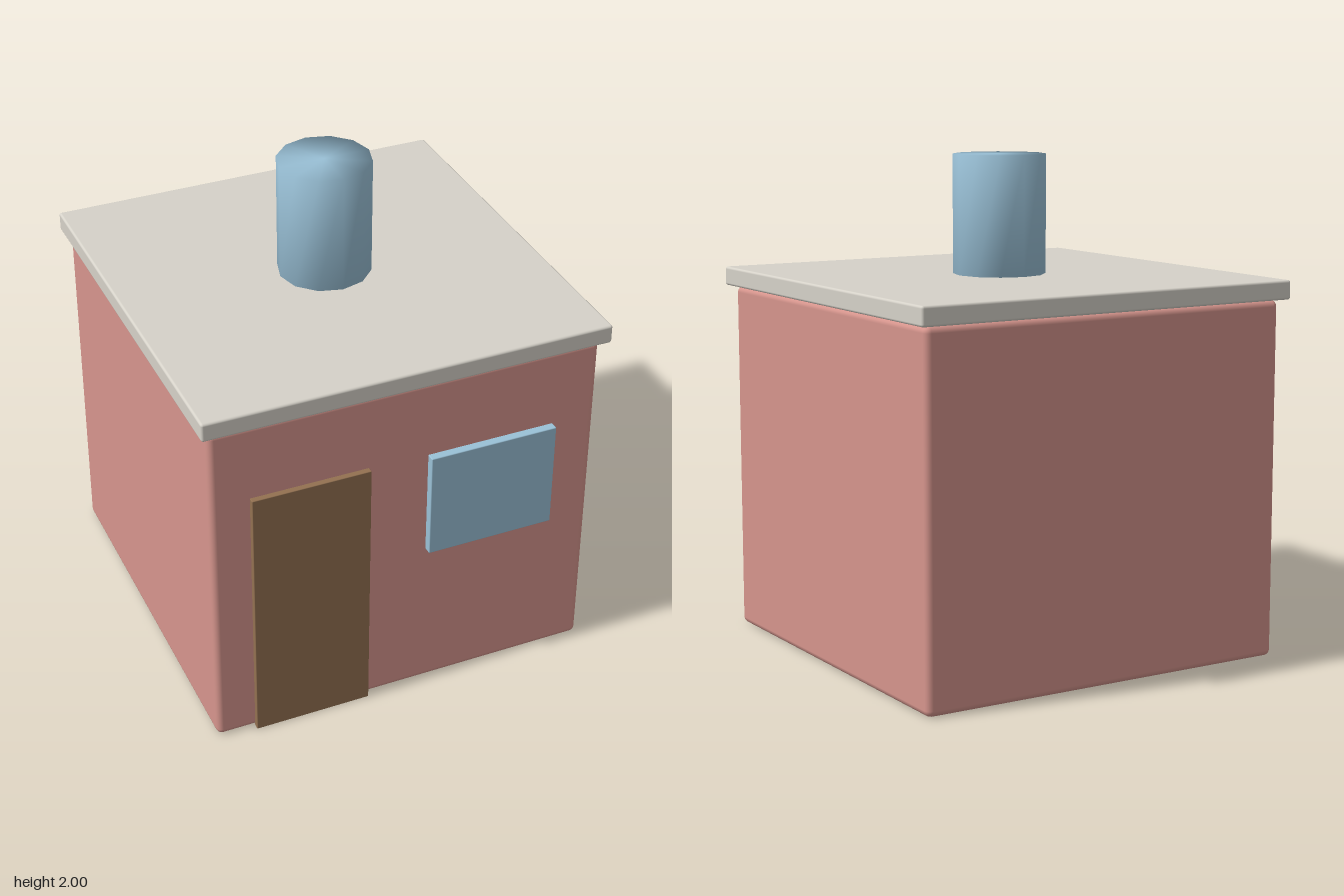
import * as THREE from 'three';
import { mergeVertices } from 'three/addons/utils/BufferGeometryUtils.js';
import { RoundedBoxGeometry } from 'three/addons/geometries/RoundedBoxGeometry.js';

function material(name, color) {
  const m = new THREE.MeshStandardMaterial({ color });
  m.name = name;
  return m;
}

export function createModel() {
  const group = new THREE.Group();
  group.name = 'house';

  const wallPink = material('wall pink', 0xd6958d);
  const roofStone = material('roof stone', 0xd6d2c9);
  const doorBrown = material('door brown', 0x937151);
  const paleBlue = material('pale blue', 0x9ac1d7);

  // Box with softly rounded edges, given by its min and max corners
  function block(name, mat, min, max, radius) {
    const size = max.map((v, i) => v - min[i]);
    const mesh = new THREE.Mesh(new RoundedBoxGeometry(...size, 2, radius), mat);
    mesh.position.set(...max.map((v, i) => (v + min[i]) / 2));
    mesh.name = name;
    group.add(mesh);
  }

  block('walls', wallPink, [-0.797, 0, -0.797], [0.797, 1.44, 0.797], 0.025);
  block('roof', roofStone, [-0.83, 1.443, -0.83], [0.83, 1.52, 0.83], 0.01);
  block('door', doorBrown, [-0.64, 0, 0.79], [-0.16, 1.12, 0.82], 0.003);
  block('window', paleBlue, [0.085, 0.66, 0.79], [0.615, 1.11, 0.83], 0.004);

  // Twelve-sided chimney whose caps share smooth normals with its sides
  let tube = new THREE.CylinderGeometry(0.187, 0.187, 0.48, 12);
  tube.deleteAttribute('normal');
  tube.deleteAttribute('uv');
  tube = mergeVertices(tube);
  tube.computeVertexNormals();
  const chimney = new THREE.Mesh(tube, paleBlue);
  chimney.name = 'chimney';
  chimney.position.y = 1.76;
  group.add(chimney);

  return group;
}
